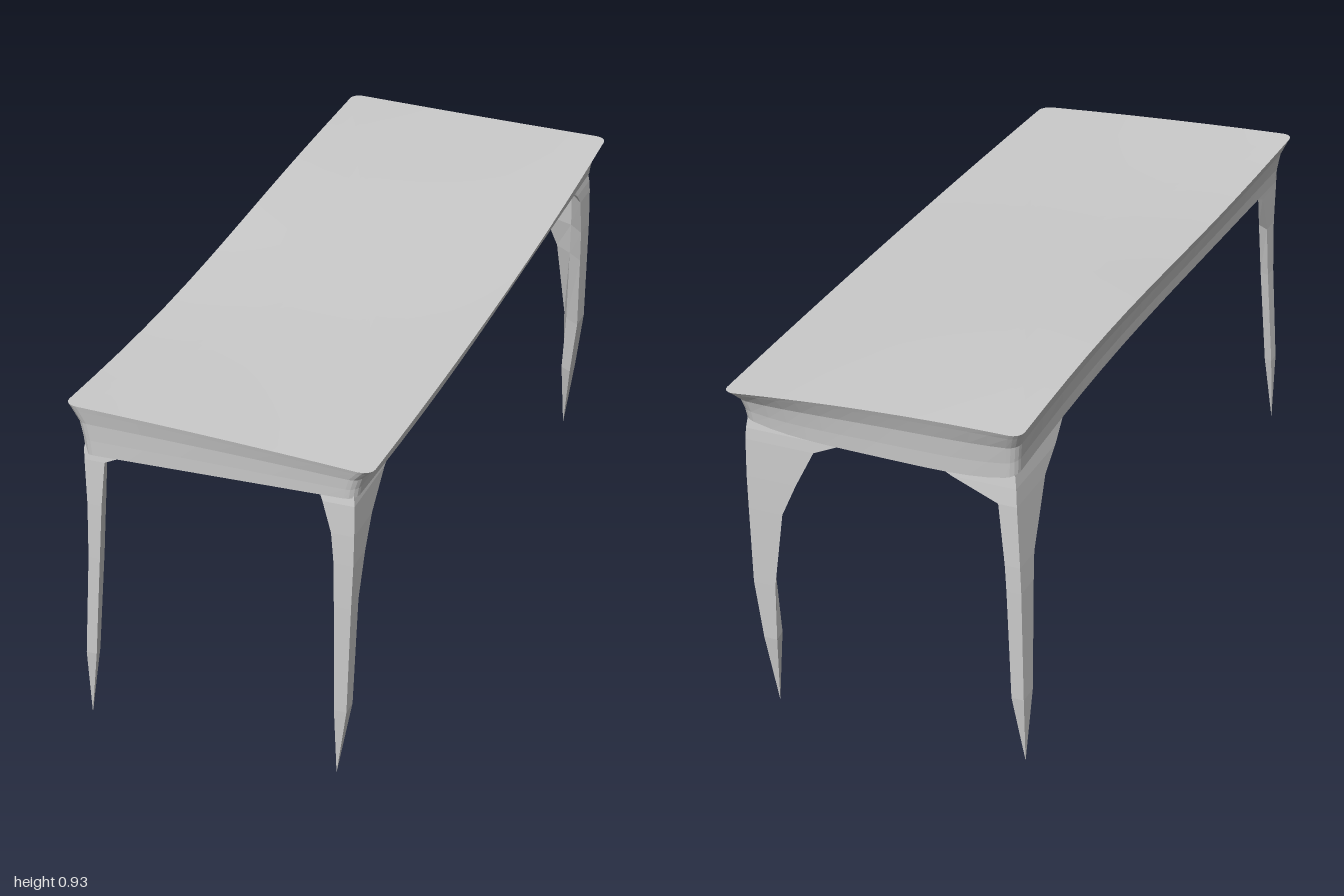
import * as THREE from 'three';

const lerp = THREE.MathUtils.lerp;

// Skin rings of equal length (counter-clockwise seen from above, listed bottom to top)
function loft(rings, flat) {
  const n = rings[0].length, pos = [], idx = [];
  rings.forEach(r => r.forEach(p => pos.push(...p)));
  for (let r = 0; r < rings.length - 1; r++) {
    for (let i = 0; i < n; i++) {
      const a = r * n + i, b = r * n + (i + 1) % n;
      idx.push(a, b, b + n, a, b + n, a + n);
    }
  }
  const g = new THREE.BufferGeometry();
  g.setAttribute('position', new THREE.Float32BufferAttribute(pos, 3));
  g.setIndex(idx);
  g.computeVertexNormals();
  return new THREE.Mesh(g, new THREE.MeshStandardMaterial({
    color: 0xcccccc, flatShading: flat, side: THREE.DoubleSide,
  }));
}

// Blend four corner values: back -x, back +x, front -x, front +x
const blend = (c, u, v) =>
  lerp(lerp(c[0], c[1], (u + 1) / 2), lerp(c[2], c[3], (u + 1) / 2), (v + 1) / 2);

// Rounded rectangle in (u, v), each running -1..1
function outline() {
  const pts = [], ru = 0.08, rv = 0.03, corners = [[-1, 1], [1, 1], [1, -1], [-1, -1]];
  corners.forEach(([su, sv], k) => {
    for (let j = 0; j <= 4; j++) {
      const a = Math.PI - (k + j / 4) * Math.PI / 2;
      pts.push([su * (1 - ru) + ru * Math.cos(a), sv * (1 - rv) + rv * Math.sin(a)]);
    }
    const p = pts[pts.length - 1], [nu, nv] = corners[(k + 1) % 4];
    const q = k % 2 ? [nu, nv * (1 - rv)] : [nu * (1 - ru), nv];
    for (let j = 1; j < 14; j++) {
      pts.push([lerp(p[0], q[0], j / 14), lerp(p[1], q[1], j / 14)]);
    }
  });
  return pts;
}

// Warped surface of the table top
function topPoint(u, v) {
  const x = blend([-0.432, 0.322, -0.335, 0.43], u, v) + 0.015 * (1 - v * v);
  const z = blend([-0.94, -1.0, 0.995, 0.955], u, v) + 0.012 * (1 - u * u) * Math.max(0, -v);
  const wave = 0.011 * Math.sin(-v * Math.PI) * (1 - u) / 2 - 0.005 * (1 - v * v);
  const y = blend([0.936, 0.905, 0.92, 0.882], u, v) + wave + 0.004 * (1 - u * u);
  return [x, y, z];
}

// Lower edge of the rail, hanging lower in the middle of the back
function railPoint(u, v) {
  const sag = 0.028 * (1 - u ** 4) * Math.max(0, -v) ** 8;
  const lift = 0.012 * (1 - v * v) * (1 - u) / 2;
  return [
    blend([-0.405, 0.298, -0.302, 0.387], u, v) + 0.012 * (1 - v * v),
    blend([0.81, 0.822, 0.785, 0.8], u, v) + 0.006 * Math.sin(-v * Math.PI) - sag + lift,
    blend([-0.907, -0.951, 0.979, 0.944], u, v),
  ];
}

// Legs: rows of [y, outer x, inner x, outer z, inner z], foot first
const legRows = {
  frontLeftLeg: [
    [0.005, 0.33, 0.33, 0.93, 0.93], [0.2, 0.362, 0.33, 0.942, 0.9],
    [0.5, 0.376, 0.333, 0.945, 0.895], [0.62, 0.382, 0.333, 0.945, 0.865],
    [0.7, 0.384, 0.327, 0.944, 0.825], [0.78, 0.384, 0.305, 0.941, 0.74],
    [0.84, 0.375, 0.28, 0.93, 0.6],
  ],
  frontRightLeg: [
    [0.025, -0.32, -0.32, 0.965, 0.965], [0.22, -0.317, -0.29, 0.984, 0.945],
    [0.5, -0.298, -0.268, 0.982, 0.935], [0.65, -0.294, -0.257, 0.98, 0.92],
    [0.77, -0.297, -0.245, 0.977, 0.86], [0.8, -0.298, -0.18, 0.974, 0.78],
    [0.84, -0.29, -0.1, 0.965, 0.65],
  ],
  backLeftLeg: [
    [0.005, 0.253, 0.253, -0.92, -0.92], [0.2, 0.276, 0.24, -0.943, -0.885],
    [0.36, 0.294, 0.235, -0.948, -0.88], [0.57, 0.296, 0.205, -0.95, -0.875],
    [0.66, 0.297, 0.165, -0.95, -0.87], [0.76, 0.296, 0.115, -0.948, -0.855],
    [0.79, 0.294, 0.05, -0.946, -0.83], [0.84, 0.287, -0.02, -0.938, -0.79],
  ],
  backRightLeg: [
    [0.01, -0.42, -0.42, -0.89, -0.89], [0.2, -0.425, -0.393, -0.91, -0.855],
    [0.5, -0.42, -0.382, -0.912, -0.838], [0.57, -0.417, -0.378, -0.912, -0.828],
    [0.73, -0.407, -0.36, -0.908, -0.74], [0.775, -0.403, -0.24, -0.903, -0.67],
    [0.84, -0.393, -0.1, -0.893, -0.58],
  ],
};

// Kite section: outer corner, two arms along the skewed rails, short inner corner
function legRing([y, ox, ix, oz, iz]) {
  const dx = ix - ox, dz = iz - oz;
  const mx = ox + Math.sign(dx) * Math.min(Math.abs(dx) * 0.8, 0.04);
  const mz = oz + Math.sign(dz) * Math.min(Math.abs(dz) * 0.8, 0.04);
  const ring = [[ox, y, oz], [ix, y, oz - dx * 0.055], [mx, y, mz], [ox + dz * 0.05, y, iz]];
  return ox * oz > 0 ? ring.reverse() : ring;
}

export function createModel() {
  const group = new THREE.Group();
  const add = (name, mesh) => { mesh.name = name; group.add(mesh); };
  const uv = outline();

  // Softly warped top
  add('tableTop', loft([1, 0.97, 0.85, 0.65, 0.45, 0.25, 0].map(s =>
    uv.map(([u, v]) => topPoint(u * s, v * s))), false));

  // Rail flaring out to the rim: [inward, downward] blend from rim to lower edge
  const profile = [[1, 1], [0.9, 0.7], [0.68, 0.36], [0.2, 0.1], [0, 0]];
  add('rail', loft(profile.map(([inn, down]) => uv.map(([u, v]) => {
    const t = topPoint(u, v), b = railPoint(u, v);
    return [lerp(t[0], b[0], inn), lerp(t[1], b[1], down), lerp(t[2], b[2], inn)];
  })), true));

  // Flat underside recessed between the rails
  add('underside', loft([0, 0.95, 1].map(s => uv.map(([u, v]) => {
    const [x, y, z] = railPoint(u * s, v * s);
    return [x, s < 1 ? 0.84 - 0.005 * v * s : y, z];
  })), true));

  // Four tapering legs
  for (const [name, rows] of Object.entries(legRows)) add(name, loft(rows.map(legRing), true));

  return group;
}
